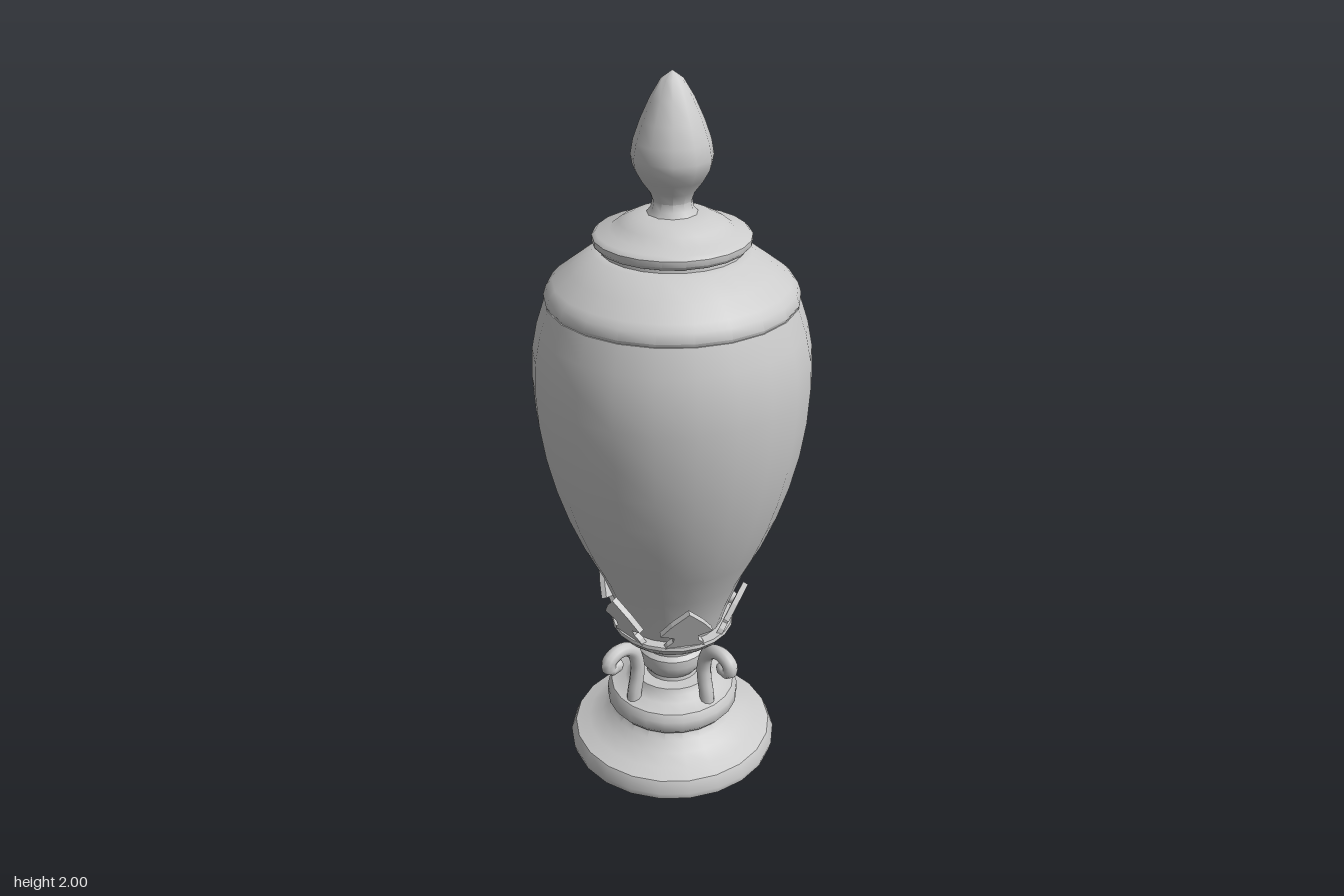
import * as THREE from 'three';
import { toCreasedNormals } from 'three/addons/utils/BufferGeometryUtils.js';

const material = new THREE.MeshStandardMaterial({ color: 0xcccccc });

function addMesh(parent, name, geometry) {
  const mesh = new THREE.Mesh(geometry, material);
  mesh.name = name;
  parent.add(mesh);
  return mesh;
}

// Turned part from [radius, height] pairs, bottom to top
function turned(parent, name, profile, sides = 22, start = Math.PI / 2) {
  const points = profile.map(([r, y]) => new THREE.Vector2(r, y));
  const geometry = new THREE.LatheGeometry(points, sides, start);
  return addMesh(parent, name, toCreasedNormals(geometry, 0.75));
}

export function createModel() {
  const urn = new THREE.Group();
  urn.name = 'urn';

  // Foot with its rounded collar
  turned(urn, 'foot', [
    [0, 0], [0.3, 0], [0.305, 0.02], [0.29, 0.055], [0.25, 0.07], [0.21, 0.09],
    [0.185, 0.115], [0.172, 0.13], [0.172, 0.145], [0, 0.145],
  ]);
  turned(urn, 'footCollar', [
    [0.1, 0.14], [0.18, 0.14], [0.192, 0.155], [0.192, 0.185], [0.18, 0.205],
    [0.14, 0.215], [0.122, 0.23], [0.115, 0.247], [0, 0.247],
  ]);

  // Stem with a central bulge, flaring into the cup rim
  turned(urn, 'stem', [
    [0.078, 0.24], [0.075, 0.258], [0.085, 0.27], [0.095, 0.285], [0.1, 0.305],
    [0.1, 0.33], [0.088, 0.342], [0.09, 0.36], [0.108, 0.37], [0.115, 0.385],
  ]);
  turned(urn, 'cupRim', [
    [0.08, 0.37], [0.11, 0.37], [0.125, 0.383], [0.15, 0.395], [0.165, 0.41],
    [0.176, 0.425], [0.174, 0.435], [0, 0.435],
  ]);

  // Vase body
  turned(urn, 'body', [
    [0.1, 0.42], [0.145, 0.435], [0.165, 0.5], [0.203, 0.6], [0.253, 0.7],
    [0.294, 0.8], [0.326, 0.9], [0.35, 1.0], [0.365, 1.1], [0.371, 1.2],
    [0.367, 1.28], [0.353, 1.35], [0.33, 1.42], [0, 1.42],
  ]);

  // Lid: lipped shoulder, then a smaller cap
  turned(urn, 'lidShoulder', [
    [0, 1.415], [0.325, 1.415], [0.332, 1.43], [0.324, 1.455], [0.308, 1.472],
    [0.265, 1.505], [0.205, 1.55], [0.185, 1.553], [0.182, 1.575],
  ]);
  turned(urn, 'lidCap', [
    [0, 1.565], [0.195, 1.565], [0.204, 1.575], [0.204, 1.59], [0.194, 1.6],
    [0.16, 1.605], [0.135, 1.625], [0.1, 1.643], [0.065, 1.648], [0, 1.65],
  ]);

  // Pointed bud finial
  turned(urn, 'finial', [
    [0.07, 1.643], [0.055, 1.66], [0.051, 1.68], [0.06, 1.705], [0.083, 1.735],
    [0.1, 1.765], [0.105, 1.79], [0.098, 1.83], [0.08, 1.88], [0.055, 1.935],
    [0.028, 1.98], [0, 2],
  ], 11, Math.PI);

  // Four scroll brackets between collar and rim
  const scrollPath = new THREE.CatmullRomCurve3([
    [0.152, 0.19], [0.148, 0.23], [0.138, 0.28], [0.136, 0.325], [0.15, 0.37], [0.182, 0.395],
    [0.216, 0.396], [0.242, 0.377], [0.238, 0.354], [0.216, 0.357],
  ].map(([x, y]) => new THREE.Vector3(x, y, 0)));
  const scrollGeometry = new THREE.TubeGeometry(scrollPath, 36, 0.021, 10);
  const tipGeometry = new THREE.SphereGeometry(0.022, 10, 8).translate(0.216, 0.357, 0);
  for (let i = 0; i < 4; i++) {
    const scroll = new THREE.Group();
    scroll.name = 'scrollBracket';
    addMesh(scroll, 'scrollArm', scrollGeometry);
    addMesh(scroll, 'scrollTip', tipGeometry);
    scroll.rotation.y = i * Math.PI / 2;
    urn.add(scroll);
  }

  // Six spade-shaped leaves leaning outward around the body
  const half = [[0.058, 0], [0.05, 0.02], [0.036, 0.035], [0.034, 0.055], [0.05, 0.062], [0.074, 0.072], [0.045, 0.115]];
  const outline = [
    ...half, [0, 0.165],
    ...half.map(([x, y]) => [-x, y]).reverse(),
  ].map(([x, y]) => new THREE.Vector2(x, y));
  const leafGeometry = new THREE.ExtrudeGeometry(new THREE.Shape(outline), { depth: 0.016, bevelEnabled: false });
  leafGeometry.rotateX(0.38).translate(0, 0.432, 0.148);
  for (let i = 0; i < 6; i++) {
    addMesh(urn, 'leaf', leafGeometry).rotation.y = i * Math.PI / 3;
  }

  return urn;
}
